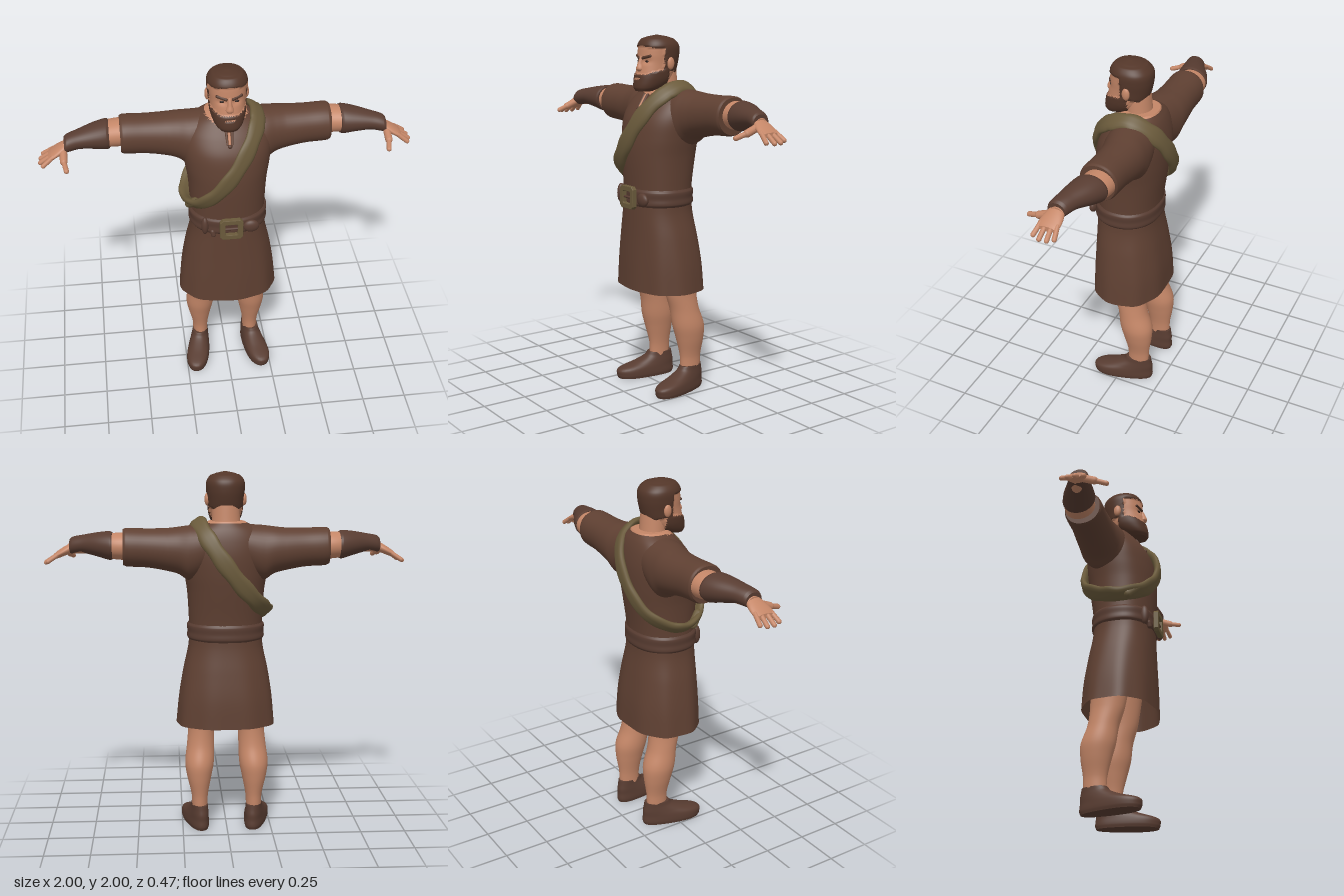
import * as THREE from 'three';

const mat = (name, color, side = THREE.FrontSide) => {
  const m = new THREE.MeshStandardMaterial({ color, side });
  m.name = name;
  return m;
};

// Smooth loft through keys [position, c1, c2, r1, r2]; upright by default, along x when alongX
// (upright: c1,r1 = x and c2,r2 = z; along x: c1,r1 = z and c2,r2 = y)
function loft(keys, { n = 40, steps = 6, p = 2, alongX = false, caps = true, ripple = null } = {}) {
  const slope = (i, j) => {
    const a = keys[Math.max(i - 1, 0)], b = keys[Math.min(i + 1, keys.length - 1)];
    return (b[j] - a[j]) / (b[0] - a[0]);
  };
  const rows = [];
  for (let i = 0; i < keys.length - 1; i++) {
    const a = keys[i], b = keys[i + 1], h = b[0] - a[0];
    for (let s = i ? 1 : 0; s <= steps; s++) {
      const t = s / steps, t2 = t * t, t3 = t2 * t;
      rows.push(a.map((v, j) => j === 0 ? v + h * t
        : (2 * t3 - 3 * t2 + 1) * v + (t3 - 2 * t2 + t) * h * slope(i, j)
        + (3 * t2 - 2 * t3) * b[j] + (t3 - t2) * h * slope(i + 1, j)));
    }
  }
  const pos = [], idx = [];
  const put = (u, v, w) => alongX ? pos.push(v, w, u) : pos.push(u, v, w);
  const ring = ([y, cx, cz, rx, rz]) => {
    for (let k = 0; k < n; k++) {
      const a = k / n * Math.PI * 2, c = Math.cos(a), s = Math.sin(a);
      const f = ripple ? 1 + ripple(a, y) : 1;
      put(cx + f * rx * Math.sign(c) * Math.abs(c) ** (2 / p), y, cz + f * rz * Math.sign(s) * Math.abs(s) ** (2 / p));
    }
  };
  rows.forEach(ring);
  for (let r = 0; r < rows.length - 1; r++) for (let k = 0; k < n; k++) {
    const a = r * n + k, b = r * n + (k + 1) % n;
    idx.push(a, a + n, b, b, a + n, b + n);
  }
  if (caps) [rows[0], rows[rows.length - 1]].forEach((row, end) => {
    const base = pos.length / 3;
    ring(row);
    put(row[1], row[0], row[2]);
    for (let k = 0; k < n; k++) {
      const a = base + k, b = base + (k + 1) % n;
      end ? idx.push(base + n, b, a) : idx.push(base + n, a, b);
    }
  });
  return finish(pos, idx);
}

function finish(pos, idx) {
  const g = new THREE.BufferGeometry();
  g.setAttribute('position', new THREE.Float32BufferAttribute(pos, 3));
  g.setIndex(idx);
  g.computeVertexNormals();
  return g;
}

// Sort faces into material groups by a rule on the face centre
function paint(g, rule, count) {
  const P = g.attributes.position, I = g.index.array, lists = Array.from({ length: count }, () => []);
  for (let i = 0; i < I.length; i += 3) {
    const f = [I[i], I[i + 1], I[i + 2]];
    const mid = (get) => f.reduce((s, v) => s + P[get](v), 0) / 3;
    lists[rule(mid('getX'), mid('getY'), mid('getZ'))].push(...f);
  }
  g.setIndex(lists.flat());
  let start = 0;
  lists.forEach((l, m) => { g.addGroup(start, l.length, m); start += l.length; });
  return g;
}

function mirrored(g) {
  const m = g.clone().scale(-1, 1, 1), a = m.index.array;
  for (let i = 0; i < a.length; i += 3) [a[i], a[i + 1]] = [a[i + 1], a[i]];
  return m;
}

// Rounded finger-like rod between two points
function rod(a, b, r) {
  const A = new THREE.Vector3(...a), B = new THREE.Vector3(...b), d = B.clone().sub(A);
  const q = new THREE.Quaternion().setFromUnitVectors(new THREE.Vector3(0, 1, 0), d.clone().normalize());
  const mid = A.add(B).multiplyScalar(0.5);
  return new THREE.CapsuleGeometry(r, d.length(), 5, 12).applyQuaternion(q).translate(mid.x, mid.y, mid.z);
}

const blob = (x, y, z, rx, ry, rz) => new THREE.SphereGeometry(1, 20, 14).scale(rx, ry, rz).translate(x, y, z);

// Flat band swept round a closed path, lying against the body
function band(points, centre, halfWidth, halfThick) {
  const curve = new THREE.CatmullRomCurve3(points.map((q) => new THREE.Vector3(...q)), true);
  const rows = 120, n = 16, pos = [], idx = [];
  for (let r = 0; r < rows; r++) {
    const c = curve.getPoint(r / rows), T = curve.getTangent(r / rows), N = c.clone().sub(centre);
    N.addScaledVector(T, -N.dot(T)).normalize();
    const W = T.clone().cross(N);
    for (let k = 0; k < n; k++) {
      const a = k / n * Math.PI * 2;
      const fold = 1 - 0.3 * Math.exp(-(((Math.cos(a) - 0.15) / 0.2) ** 2));
      const q = c.clone().addScaledVector(W, halfWidth * (1 + 0.06 * Math.sin(r * 0.6)) * Math.cos(a))
        .addScaledVector(N, halfThick * fold * Math.sin(a));
      pos.push(q.x, q.y, q.z);
      const k2 = (k + 1) % n, s = (r + 1) % rows;
      idx.push(r * n + k, s * n + k, r * n + k2, r * n + k2, s * n + k, s * n + k2);
    }
  }
  return finish(pos, idx);
}

export function createModel() {
  const model = new THREE.Group();
  model.name = 'beardedMan';
  const skin = mat('skin', 0xc48667), cloth = mat('brownCloth', 0x5f4032, THREE.DoubleSide);
  const leather = mat('leather', 0x583c31), hair = mat('hair', 0x533629);
  const olive = mat('oliveCloth', 0x6a5a3b), dark = mat('darkEye', 0x2c1d18);
  const add = (name, g, m) => {
    const mesh = new THREE.Mesh(g, m);
    mesh.name = name;
    model.add(mesh);
  };
  const pair = (name, g, m) => { add(name + 'Left', g, m); add(name + 'Right', mirrored(g), m); };

  // Head, with hair and beard standing slightly proud of the skin
  const head = loft([[1.7, 0, 0.1, 0.045, 0.042], [1.72, 0, 0.077, 0.066, 0.074], [1.76, 0, 0.045, 0.084, 0.102],
    [1.8, 0, 0.03, 0.091, 0.108], [1.85, 0, 0.018, 0.094, 0.11], [1.9, 0, 0.012, 0.099, 0.112],
    [1.945, 0, 0.01, 0.098, 0.107], [1.975, 0, 0.014, 0.08, 0.086], [1.99, 0, 0.016, 0.055, 0.06],
    [2.0, 0, 0.018, 0.012, 0.012]], { n: 72, p: 2.2 });
  const isHair = (x, y, z) => {
    const ax = Math.abs(x);
    if (z < 0 && y < 1.775) return 0;
    if (y > 1.945 - 0.15 * ax) return 1;
    if (y < 1.79 + 0.5 * Math.max(0, ax - 0.05)) return z > 0 && !(ax < 0.024 && Math.abs(y - 1.768) < 0.005) ? 1 : 0;
    return z < 0.035 ? 1 : 0;
  };
  const P = head.attributes.position;
  for (let i = 0; i < P.count; i++) {
    const x = P.getX(i), y = P.getY(i), z = P.getZ(i);
    const d = Math.hypot(x, z - 0.02) || 1;
    const socket = z > 0 ? Math.exp(-(((Math.abs(x) - 0.038) / 0.022) ** 2) - ((y - 1.862) / 0.014) ** 2) : 0;
    const push = (y < 1.985 && isHair(x, y, z) ? 0.007 : 0) - 0.01 * socket;
    P.setXYZ(i, x + x / d * push, y, z + (z - 0.02) / d * push);
  }
  head.computeVertexNormals();
  add('head', paint(head, isHair, 2), [skin, hair]);
  add('nose', loft([[1.806, 0, 0.128, 0.016, 0.012], [1.82, 0, 0.13, 0.022, 0.022], [1.85, 0, 0.122, 0.013, 0.021],
    [1.89, 0, 0.116, 0.012, 0.01]], { n: 20 }), skin);
  pair('ear', blob(0.102, 1.85, -0.002, 0.014, 0.034, 0.022), skin);
  pair('eye', blob(0.038, 1.861, 0.111, 0.013, 0.006, 0.007), dark);
  pair('eyebrow', rod([0.018, 1.879, 0.124], [0.062, 1.89, 0.105], 0.008), hair);
  add('neck', loft([[1.62, 0, -0.04, 0.095, 0.085], [1.7, 0, -0.035, 0.08, 0.072], [1.82, 0, -0.02, 0.075, 0.074]]), skin);

  // Tunic body, skin showing at the open neck
  const torso = loft([[1.09, 0, 0.016, 0.203, 0.167], [1.2, 0, 0.015, 0.206, 0.175], [1.35, 0, 0.008, 0.215, 0.189],
    [1.45, 0, 0, 0.23, 0.192], [1.55, 0, -0.012, 0.24, 0.183], [1.63, 0, -0.03, 0.228, 0.155],
    [1.69, 0, -0.045, 0.18, 0.122], [1.735, 0, -0.05, 0.1, 0.09]], { n: 80, p: 2.2 });
  add('tunicBody', paint(torso, (x, y, z) => y > (z > -0.03 ? 1.668 + 0.5 * Math.abs(x) : 1.728) ? 1 : 0, 2), [cloth, skin]);
  add('neckSlit', rod([0, 1.615, 0.131], [0, 1.675, 0.092], 0.008), skin);
  pair('slitEdge', rod([0.012, 1.612, 0.132], [0.016, 1.68, 0.09], 0.007), cloth);
  add('slitKnot', blob(0, 1.605, 0.14, 0.012, 0.012, 0.01), leather);
  add('tunicSkirt', loft([[0.595, 0, -0.005, 0.277, 0.203], [0.75, 0, -0.002, 0.262, 0.197], [0.9, 0, 0.006, 0.238, 0.184],
    [1.03, 0, 0.015, 0.21, 0.172], [1.12, 0, 0.017, 0.203, 0.168]],
  { n: 96, p: 2.35, caps: false, ripple: (a, y) => 0.014 * Math.max(0, 1.05 - y) * 2 * Math.sin(9 * a + 0.6) }), cloth);
  pair('sleeve', loft([[0.08, -0.05, 1.6, 0.12, 0.12], [0.2, -0.055, 1.563, 0.13, 0.15], [0.26, -0.065, 1.577, 0.122, 0.129],
    [0.32, -0.07, 1.583, 0.114, 0.117], [0.43, -0.07, 1.592, 0.106, 0.106], [0.545, -0.07, 1.597, 0.105, 0.104],
    [0.562, -0.07, 1.597, 0.098, 0.097]], { alongX: true, p: 2.1 }), cloth);

  // Belt with square buckle and loops
  add('belt', loft([[1.075, 0, 0.018, 0.206, 0.175], [1.09, 0, 0.018, 0.216, 0.183], [1.12, 0, 0.018, 0.214, 0.182],
    [1.155, 0, 0.018, 0.216, 0.183], [1.17, 0, 0.018, 0.206, 0.175]], { n: 64, p: 2.2 }), leather);
  const square = (s, r) => [[s, s - r], [s - r, s], [r - s, s], [-s, s - r], [-s, r - s], [r - s, -s], [s - r, -s], [s, r - s]]
    .map(([x, y]) => new THREE.Vector2(x, y));
  const frame = new THREE.Shape(square(0.06, 0.014));
  frame.holes.push(new THREE.Path(square(0.037, 0.006)));
  add('buckle', new THREE.ExtrudeGeometry(frame, { depth: 0.022, bevelSize: 0.003, bevelThickness: 0.003, bevelSegments: 2 })
    .translate(0, 1.122, 0.2), olive);
  add('bucklePin', rod([-0.035, 1.122, 0.212], [0.035, 1.122, 0.212], 0.007), leather);
  add('beltTip', blob(0.11, 1.118, 0.19, 0.045, 0.038, 0.022), leather);
  add('beltLoopRight', blob(-0.14, 1.122, 0.165, 0.02, 0.055, 0.025), leather);
  add('beltHanging', rod([-0.095, 1.07, 0.183], [-0.1, 1.09, 0.18], 0.014), leather);

  // Sash from the left shoulder to the right hip, front and back
  add('sash', band([[0.155, 1.7, 0.06], [0.105, 1.61, 0.155], [0.02, 1.475, 0.207], [-0.08, 1.345, 0.203], [-0.17, 1.26, 0.15],
    [-0.222, 1.225, 0.04], [-0.215, 1.245, -0.06], [-0.15, 1.315, -0.165], [-0.05, 1.43, -0.21], [0.05, 1.565, -0.207],
    [0.12, 1.67, -0.155], [0.157, 1.728, -0.05]], new THREE.Vector3(-0.03, 1.47, 0), 0.048, 0.022), olive);
  add('sashEnd', rod([-0.215, 1.225, 0.09], [-0.19, 1.27, 0.14], 0.025), olive);

  // Arms, bracers and hands
  pair('forearm', loft([[0.45, -0.08, 1.6, 0.08, 0.08], [0.56, -0.082, 1.603, 0.085, 0.074], [0.64, -0.07, 1.605, 0.08, 0.068],
    [0.75, -0.035, 1.607, 0.055, 0.048], [0.86, -0.005, 1.587, 0.036, 0.03]], { alongX: true }), skin);
  pair('bracer', loft([[0.62, -0.07, 1.605, 0.088, 0.074], [0.635, -0.067, 1.606, 0.092, 0.078], [0.7, -0.05, 1.611, 0.082, 0.066],
    [0.78, -0.024, 1.612, 0.062, 0.05], [0.84, -0.006, 1.603, 0.054, 0.046], [0.855, -0.003, 1.597, 0.048, 0.04]],
  { alongX: true }), leather);
  pair('palm', loft([[0.83, -0.002, 1.595, 0.036, 0.03], [0.88, 0, 1.573, 0.053, 0.026], [0.925, 0.005, 1.55, 0.058, 0.02],
    [0.942, 0.005, 1.543, 0.048, 0.013]], { alongX: true }), skin);
  [[-0.04, -0.052, 0.972, 1.518], [-0.012, -0.018, 0.985, 1.51], [0.019, 0.022, 0.987, 1.509], [0.047, 0.062, 0.972, 1.513]]
    .forEach(([z0, z1, x, y], i) => pair('finger' + (i + 1), rod([0.915, 1.556, z0], [x, y, z1], 0.0125), skin));
  pair('thumbBase', rod([0.862, 1.572, 0.035], [0.862, 1.55, 0.09], 0.02), skin);
  pair('thumbTip', rod([0.862, 1.55, 0.09], [0.85, 1.53, 0.15], 0.0135), skin);

  // Legs and shoes, toes turned out
  pair('leg', loft([[0.06, 0.15, -0.1, 0.043, 0.058], [0.13, 0.153, -0.105, 0.043, 0.062], [0.2, 0.153, -0.105, 0.047, 0.065],
    [0.3, 0.155, -0.1, 0.068, 0.084], [0.38, 0.153, -0.09, 0.081, 0.095], [0.48, 0.146, -0.066, 0.077, 0.086],
    [0.58, 0.14, -0.045, 0.075, 0.095], [0.75, 0.13, -0.03, 0.09, 0.11], [0.95, 0.11, 0, 0.09, 0.12]]), skin);
  const shoe = loft([[0, 0, 0.085, 0.064, 0.17], [0.02, 0, 0.085, 0.069, 0.177], [0.055, 0, 0.082, 0.067, 0.171],
    [0.085, 0, 0.035, 0.06, 0.124], [0.115, 0, 0.003, 0.053, 0.086], [0.14, 0, -0.006, 0.05, 0.073]], { p: 2.3 });
  const S = shoe.attributes.position;
  for (let i = 0; i < S.count; i++) S.setX(i, S.getX(i) * (0.86 + 0.9 * Math.min(0.2, Math.max(0, S.getZ(i)))));
  shoe.computeVertexNormals();
  pair('shoe', shoe.rotateY(0.2).translate(0.155, 0, -0.1), leather);
  return model;
}
